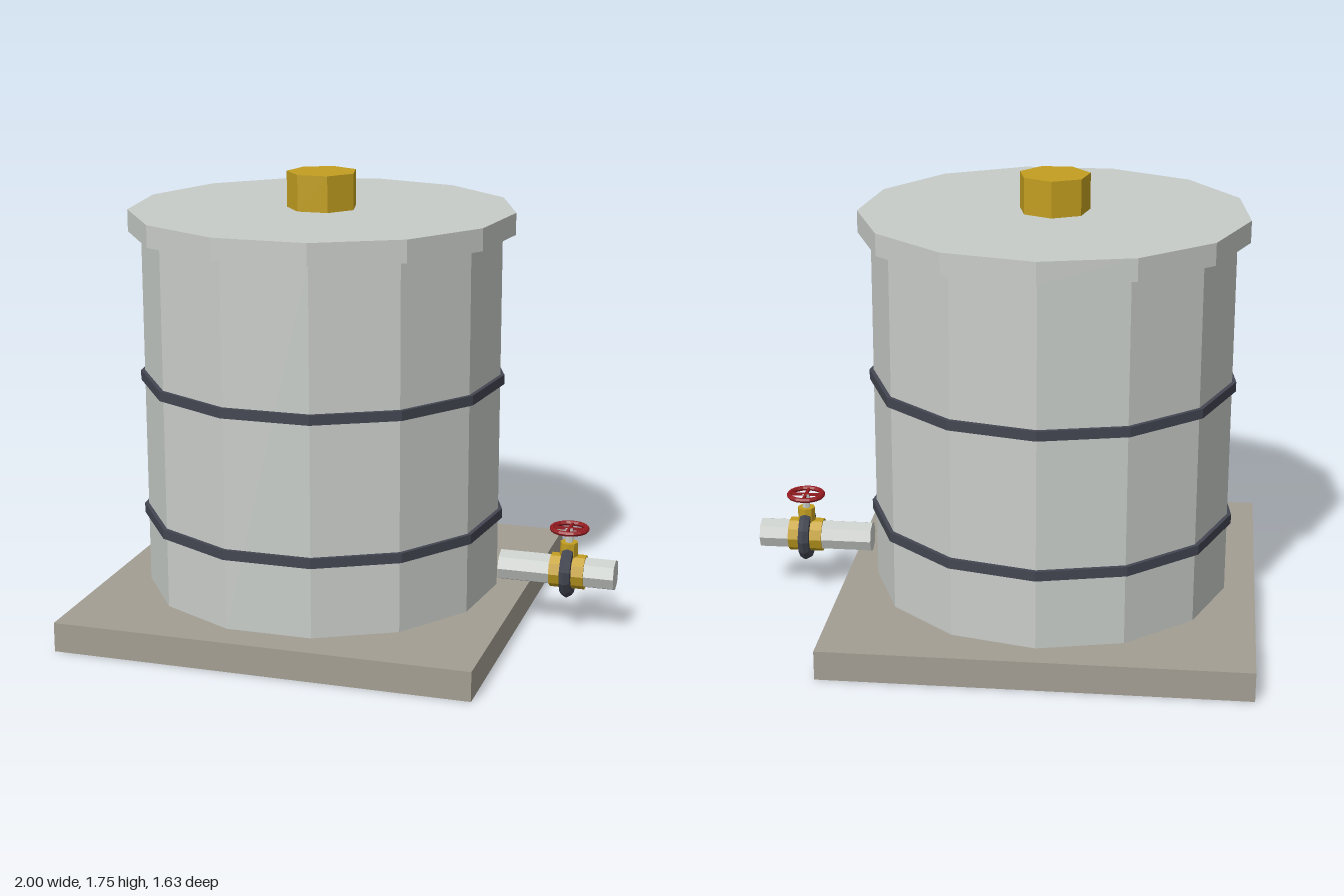
import * as THREE from 'three';

const material = (name, color) => {
  const m = new THREE.MeshStandardMaterial({ color, flatShading: true });
  m.name = name;
  return m;
};

export function createModel() {
  const group = new THREE.Group();
  const steel = material('pale steel', 0xc8ccc8);
  const concrete = material('concrete', 0xa39e93);
  const brass = material('brass', 0xc29e20);
  const iron = material('dark iron', 0x434651);
  const red = material('red paint', 0x961b20);

  const add = (parent, name, geometry, mat, x, y, z = 0) => {
    const mesh = new THREE.Mesh(geometry, mat);
    mesh.name = name;
    mesh.position.set(x, y, z);
    parent.add(mesh);
    return mesh;
  };

  // Upright prism between two heights, with a corner facing the back
  const prism = (parent, name, r, y0, y1, sides, mat, x) =>
    add(parent, name, new THREE.CylinderGeometry(r, r, y1 - y0, sides).rotateY(Math.PI),
      mat, x, (y0 + y1) / 2);

  // Cylinder lying along x
  const pipe = (parent, name, r, x0, x1, sides, mat, y) =>
    add(parent, name, new THREE.CylinderGeometry(r, r, x1 - x0, sides).rotateZ(Math.PI / 2),
      mat, (x0 + x1) / 2, y);

  // Base slab
  add(group, 'baseSlab', new THREE.BoxGeometry(1.63, 0.115, 1.63), concrete, -0.185, 0.0575);

  // Tank with lid, filler cap and hoops
  const tankX = -0.185;
  prism(group, 'tankBody', 0.7, 0.115, 1.53, 13, steel, tankX);
  prism(group, 'lid', 0.75, 1.53, 1.615, 13, steel, tankX);
  prism(group, 'fillerCap', 0.138, 1.615, 1.755, 7, brass, tankX);
  for (const y of [0.413, 0.96]) {
    prism(group, 'hoop', 0.716, y - 0.019, y + 0.019, 13, iron, tankX);
  }

  // Outlet pipe
  const pipeY = 0.233;
  pipe(group, 'outletPipe', 0.061, 0.545, 1, 8, steel, pipeY);

  // Valve
  const valve = new THREE.Group();
  valve.name = 'valve';
  group.add(valve);
  const valveX = 0.815;
  pipe(valve, 'valveBody', 0.067, 0.747, 0.883, 10, brass, pipeY);
  add(valve, 'flange', new THREE.TorusGeometry(0.082, 0.024, 6, 13).rotateY(Math.PI / 2),
    iron, valveX, pipeY);
  prism(valve, 'bonnet', 0.035, pipeY, 0.352, 8, brass, valveX);
  prism(valve, 'stem', 0.016, 0.35, 0.408, 6, steel, valveX);

  // Hand wheel with crossed spokes
  const wheelY = 0.406;
  add(valve, 'handWheel', new THREE.TorusGeometry(0.068, 0.01, 6, 16).rotateX(Math.PI / 2),
    red, valveX, wheelY);
  for (const [w, d] of [[0.135, 0.01], [0.01, 0.135]]) {
    add(valve, 'wheelSpoke', new THREE.BoxGeometry(w, 0.01, d), red, valveX, wheelY);
  }

  return group;
}
